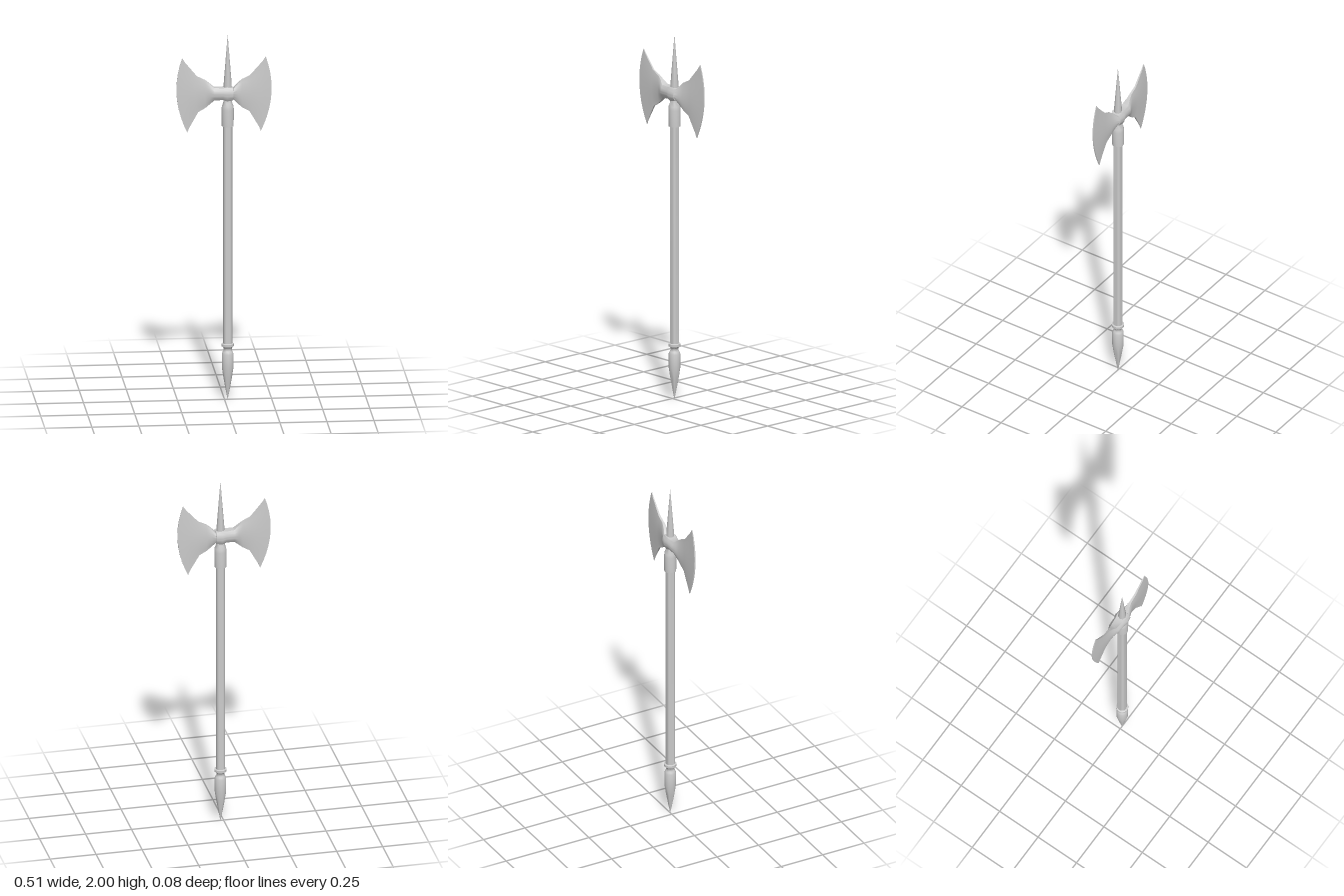
import * as THREE from 'three';
import { toCreasedNormals } from 'three/addons/utils/BufferGeometryUtils.js';

const AXIS = 0.017; // the shaft sits slightly off the middle of the head
const material = new THREE.MeshStandardMaterial({ color: 0xcccccc });

// Turned part from [radius, height] points, bottom to top
function turned(name, profile, sides, crease = 0.9) {
  const lathe = new THREE.LatheGeometry(profile.map(([r, y]) => new THREE.Vector2(r, y)), sides);
  const mesh = new THREE.Mesh(toCreasedNormals(lathe, crease), material);
  mesh.name = name;
  mesh.position.x = AXIS;
  return mesh;
}

// Double-bitted head lofted along x.
// Station: top x, top y, bottom x, bottom y, outward bow in x, half depth at middle, half depth at rim
const stations = [
  [-0.225, 1.876, -0.198, 1.468, -0.043, 0.004, 0.002],
  [-0.208, 1.85, -0.188, 1.494, -0.025, 0.006, 0.003],
  [-0.146, 1.775, -0.14, 1.58, -0.012, 0.010, 0.005],
  [-0.103, 1.754, -0.103, 1.602, 0, 0.013, 0.006],
  [-0.080, 1.735, -0.080, 1.622, 0, 0.021, 0.010],
  [-0.056, 1.714, -0.056, 1.645, 0, 0.032, 0.017],
  [-0.010, 1.712, -0.010, 1.648, 0, 0.034, 0.022],
  [0.012, 1.717, 0.012, 1.641, 0, 0.040, 0.027],
  [0.044, 1.712, 0.044, 1.645, 0, 0.034, 0.022],
  [0.046, 1.707, 0.046, 1.649, 0, 0.030, 0.017],
  [0.070, 1.733, 0.070, 1.624, 0, 0.021, 0.010],
  [0.093, 1.754, 0.093, 1.602, 0, 0.013, 0.006],
  [0.136, 1.775, 0.132, 1.58, 0.012, 0.010, 0.005],
  [0.203, 1.85, 0.183, 1.494, 0.025, 0.006, 0.003],
  [0.220, 1.876, 0.193, 1.468, 0.043, 0.004, 0.002],
];

function headGeometry() {
  const rows = 10, ring = 2 * (rows + 1), positions = [], index = [];
  for (const [xt, yt, xb, yb, bow, zMid, zRim] of stations) {
    for (let j = 0; j < ring; j++) {
      const front = j <= rows;
      const t = (front ? j : ring - 1 - j) / rows;
      const bulge = 4 * t * (1 - t);
      const z = zRim + (zMid - zRim) * bulge;
      positions.push(xt + (xb - xt) * t + bow * bulge, yt + (yb - yt) * t, front ? z : -z);
    }
  }
  const quad = (a, b, c, d) => index.push(a, b, c, a, c, d);
  const last = (stations.length - 1) * ring;
  for (let i = 0; i < last; i += ring) {
    for (let j = 0; j < ring; j++) {
      const k = (j + 1) % ring;
      quad(i + j, i + k, i + ring + k, i + ring + j);
    }
  }
  // Narrow flats along both cutting edges
  for (let j = 0; j < rows; j++) {
    const back = ring - 1 - j;
    quad(j, back, back - 1, j + 1);
    quad(last + j, last + j + 1, last + back - 1, last + back);
  }
  const geometry = new THREE.BufferGeometry();
  geometry.setAttribute('position', new THREE.Float32BufferAttribute(positions, 3));
  geometry.setIndex(index);
  return toCreasedNormals(geometry, 0.9);
}

export function createModel() {
  const model = new THREE.Group();
  model.name = 'battleAxe';

  const head = new THREE.Mesh(headGeometry(), material);
  head.name = 'doubleBladeHead';

  model.add(
    head,
    turned('shaft', [[0.025, 0.29], [0.025, 1.52]], 16),
    // Pointed foot with a neck and a ring
    turned('footSpike', [
      [0.0003, 0], [0.011, 0.055], [0.022, 0.115], [0.031, 0.175], [0.031, 0.25],
      [0.027, 0.262], [0.022, 0.27], [0.022, 0.282], [0.026, 0.288],
      [0.033, 0.293], [0.033, 0.306], [0.024, 0.309],
    ], 16),
    // Sleeve joining shaft and head
    turned('collar', [
      [0.024, 1.498], [0.032, 1.5], [0.033, 1.59], [0.031, 1.61],
      [0.024, 1.628], [0.021, 1.65], [0.021, 1.69],
    ], 16),
    turned('topSpike', [[0.022, 1.68], [0.0215, 1.73], [0.0145, 1.82], [0.0003, 2]], 8),
  );
  return model;
}
